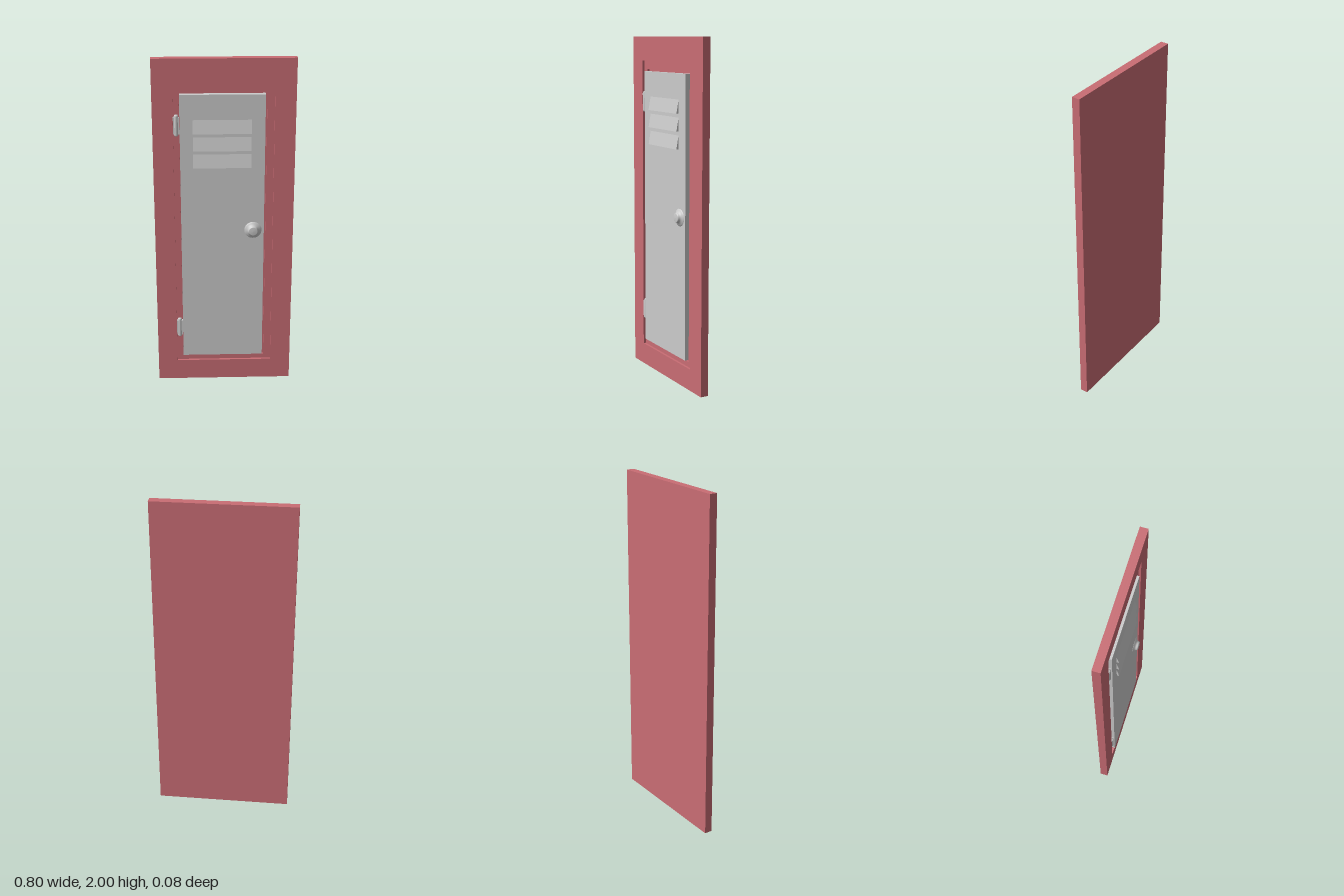
import * as THREE from 'three';

const red = new THREE.MeshStandardMaterial({ color: 0xc96d74 });
const grey = new THREE.MeshStandardMaterial({ color: 0xcccccc });

function rectPath(path, x0, x1, y0, y1) {
  path.moveTo(x0, y0);
  path.lineTo(x1, y0);
  path.lineTo(x1, y1);
  path.lineTo(x0, y1);
  path.closePath();
  return path;
}

// Flat rectangle with an optional opening, extruded from z0 to z1
function slab(outer, z0, z1, hole) {
  const shape = rectPath(new THREE.Shape(), ...outer);
  if (hole) shape.holes.push(rectPath(new THREE.Path(), ...hole));
  const geo = new THREE.ExtrudeGeometry(shape, { depth: z1 - z0, bevelEnabled: false });
  return geo.translate(0, 0, z0);
}

export function createModel() {
  const group = new THREE.Group();
  const add = (name, geo, mat, parent = group) => {
    const mesh = new THREE.Mesh(geo, mat);
    mesh.name = name;
    parent.add(mesh);
    return mesh;
  };

  // Wall panel stepping back twice towards the door
  const panel = [-0.4, 0.4, 0, 2];
  const recess = [-0.285, 0.282, 0.127, 1.862];
  const opening = [-0.25, 0.24, 0.157, 1.812];
  add('backPanel', slab(panel, -0.04, -0.02), red);
  add('innerFrame', slab(panel, -0.02, -0.008, opening), red);
  add('outerFrame', slab(panel, -0.008, 0.006, recess), red);

  // Door
  add('door', slab([-0.248, 0.23, 0.167, 1.8], -0.02, 0.012), grey);

  // Louvers: wedges leaning out towards the bottom
  const wedge = new THREE.Shape();
  wedge.moveTo(-0.01, 0);
  wedge.lineTo(-0.026, 0);
  wedge.lineTo(-0.012, 0.078);
  wedge.lineTo(-0.01, 0.078);
  wedge.closePath();
  const louverGeo = new THREE.ExtrudeGeometry(wedge, { depth: 0.328, bevelEnabled: false });
  louverGeo.rotateY(Math.PI / 2);
  for (let i = 0; i < 3; i++) {
    add('louver', louverGeo, grey).position.set(-0.175, 1.378 + i * 0.1, 0);
  }

  // Round knob with flared base and dished face
  const profile = [
    [0.05, 0.01], [0.05, 0.013], [0.042, 0.017], [0.033, 0.022], [0.029, 0.027],
    [0.028, 0.032], [0.026, 0.037], [0.023, 0.039], [0, 0.04],
  ].map(([r, h]) => new THREE.Vector2(r, h));
  const knobGeo = new THREE.LatheGeometry(profile, 32).rotateX(Math.PI / 2);
  add('knob', knobGeo, grey).position.set(0.167, 0.993, 0);

  // Hinges: leaf plate with a round pin
  const pin = [[0, -0.061], [0.009, -0.061], [0.013, -0.053], [0.013, 0.053], [0.009, 0.061], [0, 0.061]]
    .map(([r, h]) => new THREE.Vector2(r, h));
  const pinGeo = new THREE.LatheGeometry(pin, 16);
  for (const y of [0.355, 1.622]) {
    const hinge = new THREE.Group();
    hinge.name = 'hinge';
    hinge.position.set(-0.267, y, -0.002);
    add('hingePin', pinGeo, grey, hinge);
    add('hingeLeaf', new THREE.BoxGeometry(0.035, 0.096, 0.016), grey, hinge);
    group.add(hinge);
  }

  return group;
}
